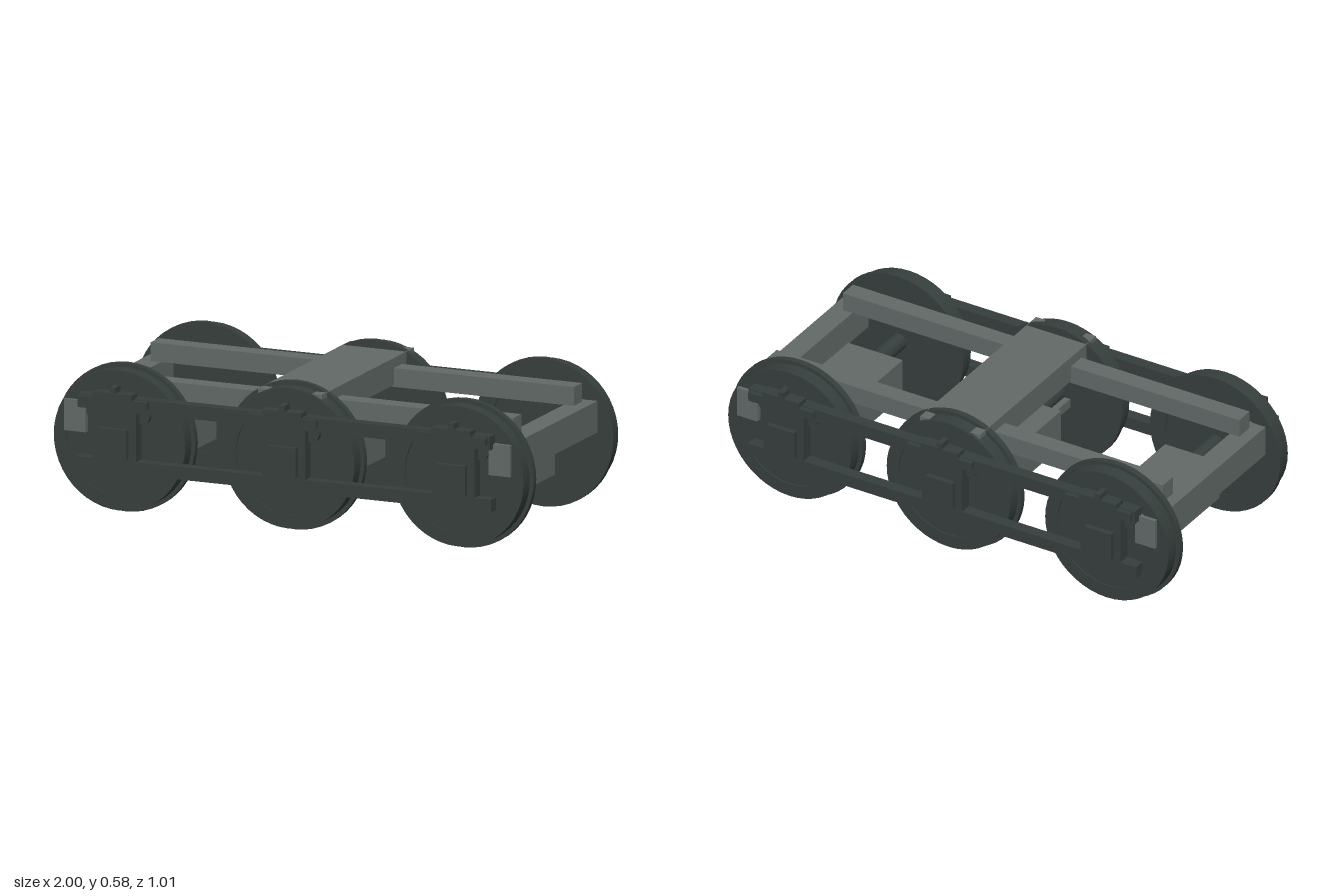
import * as THREE from 'three';
import { toCreasedNormals } from 'three/addons/utils/BufferGeometryUtils.js';

const frameGrey = new THREE.MeshStandardMaterial({ color: 0x626a68 });
frameGrey.name = 'frame grey';
const darkIron = new THREE.MeshStandardMaterial({ color: 0x363f3d });
darkIron.name = 'dark iron';

const AXLE_Y = 0.2915;
const AXLE_X = [-0.71, 0, 0.71];

export function createModel() {
  const model = new THREE.Group();
  model.name = 'sixWheelTruck';

  function add(name, geometry, material, x = 0, y = 0, z = 0) {
    const mesh = new THREE.Mesh(geometry, material);
    mesh.name = name;
    mesh.position.set(x, y, z);
    model.add(mesh);
    return mesh;
  }

  // Box given by its low and high limits on each axis
  function box(name, material, [x0, x1], [y0, y1], [z0, z1]) {
    return add(name, new THREE.BoxGeometry(x1 - x0, y1 - y0, z1 - z0), material,
      (x0 + x1) / 2, (y0 + y1) / 2, (z0 + z1) / 2);
  }

  // Box on the outer side of either side frame
  function sideBox(name, side, xs, ys, [z0, z1]) {
    return box(name, darkIron, xs, ys, side > 0 ? [z0, z1] : [-z1, -z0]);
  }

  // Cylinder lying along z
  function rod(name, radius, length, segments, x, y, z) {
    const geometry = new THREE.CylinderGeometry(radius, radius, length, segments);
    geometry.rotateX(Math.PI / 2);
    return add(name, geometry, darkIron, x, y, z);
  }

  // Wheel profile: inner flange, tread, and a slightly sunken web on both faces
  const profile = [
    [0, 0.361], [0.222, 0.361], [0.222, 0.355], [0.2915, 0.355], [0.2915, 0.38],
    [0.2755, 0.38], [0.2755, 0.438], [0.222, 0.438], [0.222, 0.432], [0, 0.432],
  ].map(([r, h]) => new THREE.Vector2(r, h));
  const wheelGeometry = toCreasedNormals(new THREE.LatheGeometry(profile, 48), 0.5);
  wheelGeometry.rotateX(Math.PI / 2);

  // Wheelsets with low drive motors
  for (const x of AXLE_X) {
    rod('axle', 0.035, 0.76, 20, x, AXLE_Y, 0);
    box('motor', frameGrey, [x - 0.122, x + 0.122], [0.173, 0.335], [-0.19, 0.19]);
    for (const side of [1, -1]) {
      const wheel = add('wheel', wheelGeometry, darkIron, x, AXLE_Y, 0);
      if (side < 0) wheel.rotation.y = Math.PI;
    }
  }

  // Main frame
  box('bolster', frameGrey, [-0.134, 0.134], [0.445, 0.551], [-0.425, 0.425]);
  box('springPlank', frameGrey, [-0.06, 0.06], [0.243, 0.28], [-0.358, 0.358]);
  for (const side of [1, -1]) {
    const span = (a, b) => (side > 0 ? [a, b] : [-b, -a]);
    box('longBeam', frameGrey, [-0.888, 0.888], [0.437, 0.511], span(0.242, 0.317));
    box('endBeam', frameGrey, span(0.845, 0.936), [0.313, 0.437], [-0.453, 0.453]);
  }

  // Side frames: bars, axle boxes, spring seats and pins
  for (const side of [1, -1]) {
    sideBox('upperBar', side, [-0.865, 0.865], [0.418, 0.472], [0.437, 0.485]);
    sideBox('lowerBar', side, [-0.87, 0.87], [0.175, 0.225], [0.437, 0.485]);
    for (const x of AXLE_X) {
      const around = (half) => [x - half, x + half];
      sideBox('pedestal', side, around(0.09), [0.225, 0.42], [0.43, 0.484]);
      sideBox('axleBox', side, around(0.06), [0.235, 0.35], [0.48, 0.505]);
      sideBox('springSeat', side, around(0.145), [0.44, 0.468], [0.454, 0.505]);
      sideBox('springCap', side, around(0.082), [0.468, 0.49], [0.454, 0.505]);
      sideBox('springStud', side, around(0.012), [0.49, 0.513], [0.454, 0.505]);
      for (const end of [1, -1]) {
        rod('upperPin', 0.033, 0.026, 20, x + end * 0.1, 0.4, side * 0.438);
        rod('lowerPin', 0.03, 0.026, 20, x + end * 0.105, 0.195, side * 0.438);
      }
    }
  }

  return model;
}
